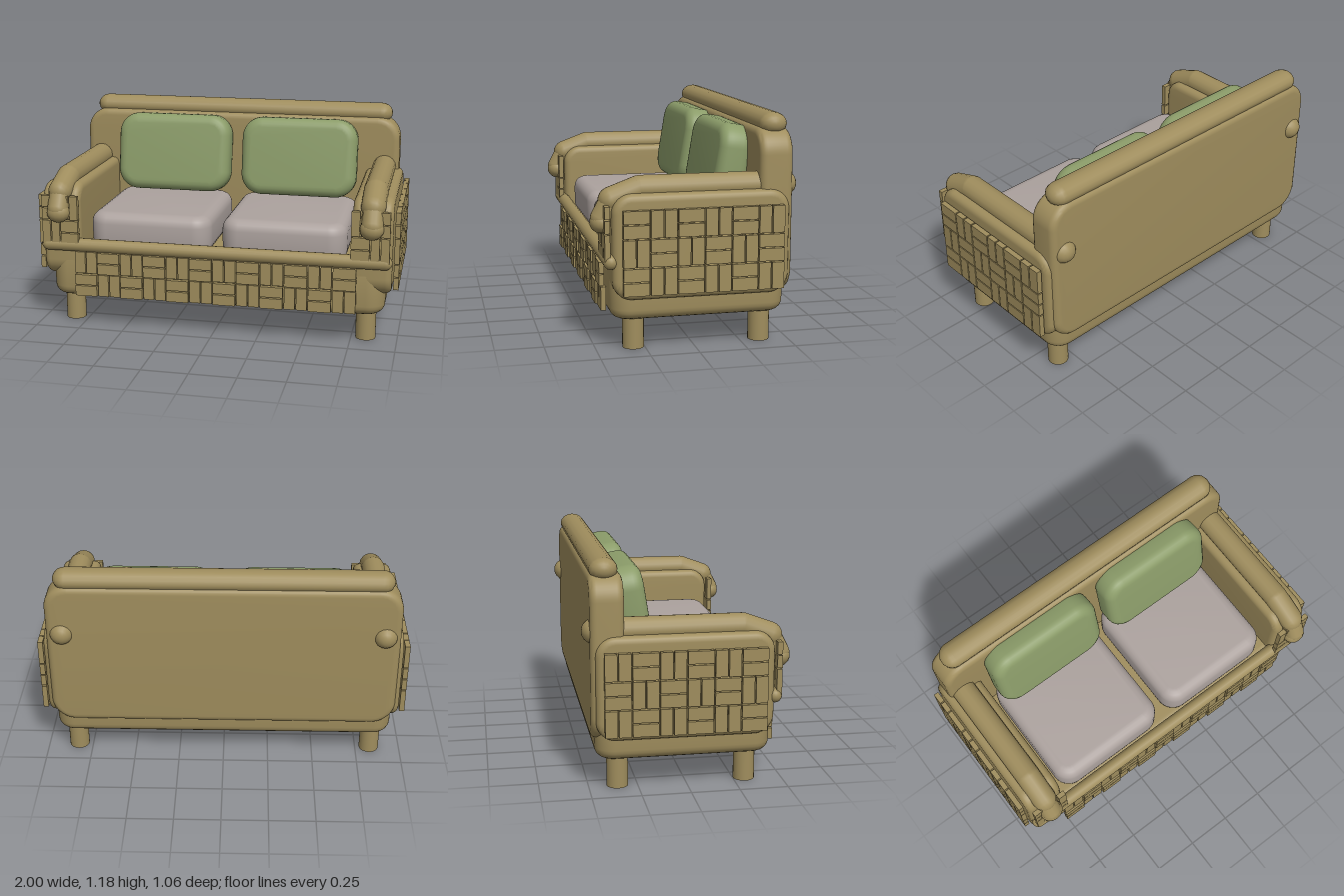
import * as THREE from 'three';
import { mergeGeometries, toCreasedNormals } from 'three/addons/utils/BufferGeometryUtils.js';

const wicker = new THREE.MeshStandardMaterial({ name: 'wicker tan', color: 0x9f8d5d });
const seatGrey = new THREE.MeshStandardMaterial({ name: 'seat grey', color: 0xaca29e });
const sageGreen = new THREE.MeshStandardMaterial({ name: 'sage green', color: 0x8b9c69 });

function part(name, geometry, material, x = 0, y = 0, z = 0) {
  const mesh = new THREE.Mesh(geometry, material);
  mesh.name = name;
  mesh.position.set(x, y, z);
  return mesh;
}

// Centred soft slab: rounded w x h outline, d thick along z, with rounded rims
function pad(w, h, d, corner, rim) {
  const a = w / 2 - rim, b = h / 2 - rim, r = corner - rim;
  const s = new THREE.Shape();
  s.moveTo(-a + r, -b);
  s.lineTo(a - r, -b);
  s.absarc(a - r, -b + r, r, -Math.PI / 2, 0);
  s.lineTo(a, b - r);
  s.absarc(a - r, b - r, r, 0, Math.PI / 2);
  s.lineTo(-a + r, b);
  s.absarc(-a + r, b - r, r, Math.PI / 2, Math.PI);
  s.lineTo(-a, -b + r);
  s.absarc(-a + r, -b + r, r, Math.PI, Math.PI * 1.5);
  const g = new THREE.ExtrudeGeometry(s, {
    depth: d - 2 * rim, bevelThickness: rim, bevelSize: rim, bevelSegments: 5, curveSegments: 6,
  });
  g.translate(0, 0, -d / 2 + rim);
  return toCreasedNormals(g, 0.7);
}

// Round-ended bar between two points
function bar(name, from, to, radius) {
  const dir = to.clone().sub(from);
  const mesh = part(name, new THREE.CapsuleGeometry(radius, dir.length(), 5, 16), wicker);
  mesh.position.copy(from).add(to).multiplyScalar(0.5);
  mesh.quaternion.setFromUnitVectors(new THREE.Vector3(0, 1, 0), dir.normalize());
  return mesh;
}

// Basket weave panel: cells alternate between two flat and two upright slats
function weave(cols, rows, cw, ch, depth, flatFirst, lift = 0) {
  const slats = [];
  const gap = 0.007;
  for (let c = 0; c < cols; c++) {
    for (let r = 0; r < rows; r++) {
      const flat = ((c + r) % 2 === 0) === flatFirst;
      const x = (c - (cols - 1) / 2) * cw;
      const y = ((rows - 1) / 2 - r) * ch;
      for (const k of [-0.25, 0.25]) {
        const g = flat
          ? new THREE.BoxGeometry(cw - gap, ch / 2 - gap, depth)
          : new THREE.BoxGeometry(cw / 2 - gap, ch - gap, depth);
        g.translate(x + (flat ? 0 : k * cw), y + (flat ? k * ch : 0), flat ? lift : 0);
        slats.push(g);
      }
    }
  }
  return mergeGeometries(slats);
}

export function createModel() {
  const sofa = new THREE.Group();
  sofa.name = 'sofa';
  const V = (x, y, z) => new THREE.Vector3(x, y, z);

  // Base and back
  const base = part('base', pad(1.86, 0.9, 0.28, 0.1, 0.055), wicker, 0, 0.3, -0.02);
  base.rotation.x = -Math.PI / 2;
  sofa.add(base);
  sofa.add(part('backrest', pad(1.88, 0.84, 0.17, 0.13, 0.035), wicker, 0, 0.68, -0.407));

  // Rolls along the top of the back and the front of the seat
  const topRoll = bar('topRoll', V(-0.825, 1.118, -0.413), V(0.825, 1.118, -0.413), 0.065);
  topRoll.scale.set(0.88, 1, 1.1);
  sofa.add(topRoll);
  sofa.add(bar('frontRail', V(-0.93, 0.467, 0.436), V(0.93, 0.467, 0.436), 0.037));

  // Woven front
  sofa.add(part('frontWeave', weave(12, 2, 0.13, 0.129, 0.027, false, 0.009), wicker, 0.005, 0.308, 0.449));

  for (const s of [-1, 1]) {
    // Arm body
    const arm = part('armPanel', pad(0.9, 0.53, 0.215, 0.1, 0.035), wicker, s * 0.857, 0.538, -0.02);
    arm.rotation.y = Math.PI / 2;
    sofa.add(arm);

    // Rolled armrest bending down to a knob at the front
    const path = [[-0.463, 0.817], [0.28, 0.817], [0.42, 0.765], [0.468, 0.675]]
      .map(([z, y]) => V(s * 0.857, y, z));
    for (let i = 0; i < path.length - 1; i++) {
      sofa.add(bar('armRoll', path[i], path[i + 1], i < 2 ? 0.066 : 0.058));
    }
    const knob = part('armKnob', new THREE.SphereGeometry(0.056, 16, 12), wicker, s * 0.855, 0.656, 0.472);
    knob.scale.x = 1.14;
    sofa.add(knob);

    // Woven outer side and arm front
    const side = part('sideWeave', weave(6, 3, 0.137, 0.1435, 0.028, s > 0), wicker, s * 0.986, 0.518, -0.023);
    side.rotation.y = s * Math.PI / 2;
    sofa.add(side);
    sofa.add(part('armFrontWeave', weave(2, 2, 0.105, 0.14, 0.027, s < 0), wicker, s * 0.85, 0.61, 0.455));

    // Legs
    for (const z of [0.307, -0.353]) {
      sofa.add(part('leg', new THREE.CylinderGeometry(0.055, 0.055, 0.2, 24), wicker, s * 0.828, 0.1, z));
    }

    // Cushions
    const seat = part('seatCushion', pad(0.685, 0.72, 0.215, 0.1, 0.06), seatGrey, s * 0.372, 0.53, 0.03);
    seat.rotation.x = -Math.PI / 2;
    sofa.add(seat);
    const back = part('backCushion', pad(0.67, 0.45, 0.17, 0.12, 0.055), sageGreen, s * 0.371, 0.868, -0.25);
    back.rotation.x = -0.16;
    sofa.add(back);
  }
  return sofa;
}
